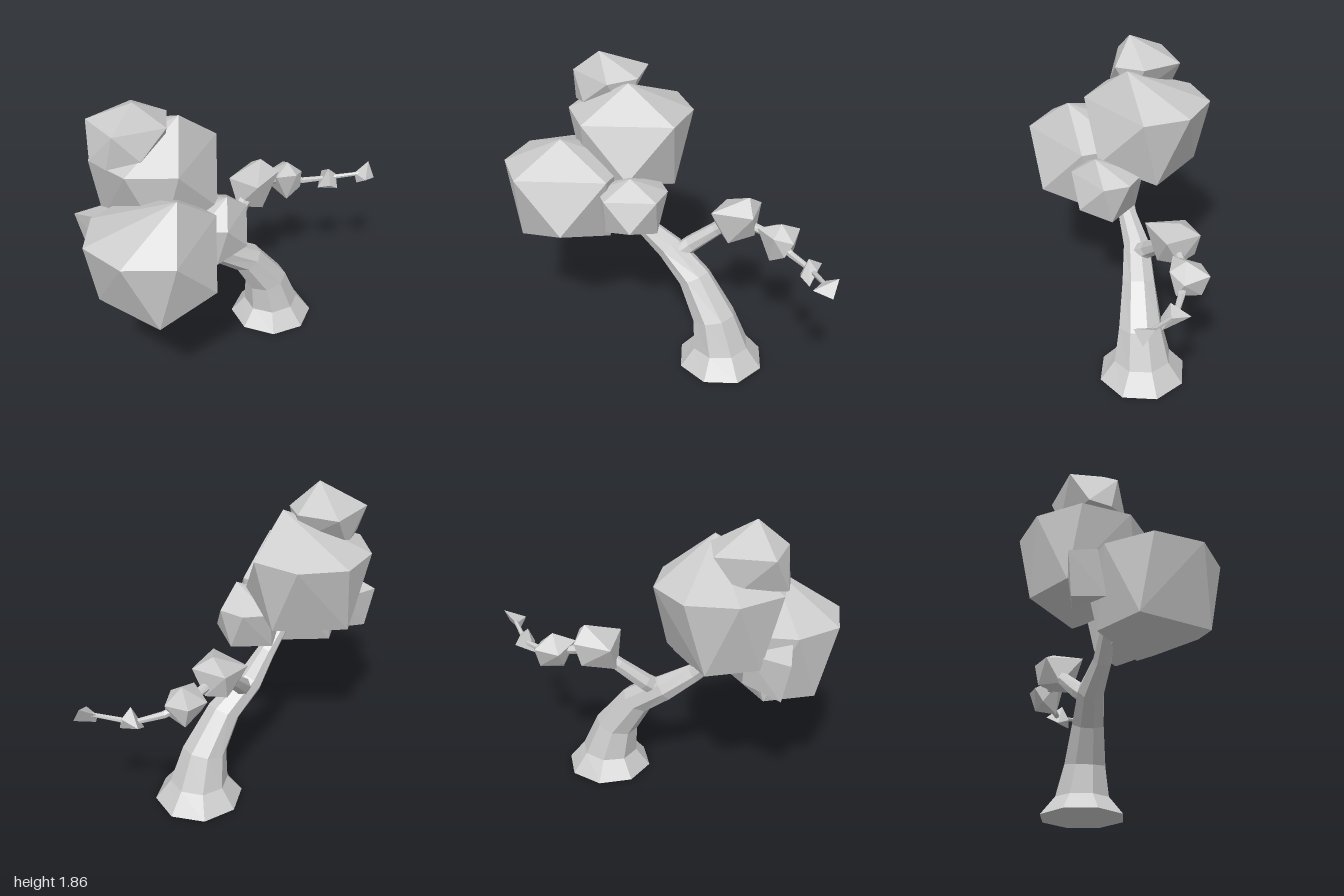
import * as THREE from 'three';
import { ConvexGeometry } from 'three/addons/geometries/ConvexGeometry.js';

const material = new THREE.MeshStandardMaterial({ color: 0xcccccc, flatShading: true });
const UP = new THREE.Vector3(0, 1, 0);

// Faceted limb through stations [x, y, z, radius]; rooted limbs start with level rings
function limb(name, stations, sides, rooted = false) {
  const centres = stations.map(s => new THREE.Vector3(s[0], s[1], s[2]));
  const last = centres.length - 1;
  const positions = [], index = [];
  centres.forEach((c, i) => {
    const normal = centres[Math.min(i + 1, last)].clone().sub(centres[Math.max(i - 1, 0)]).normalize();
    if (rooted) normal.lerp(UP, Math.max(0, 1 - i / 4)).normalize();
    const turn = new THREE.Quaternion().setFromUnitVectors(UP, normal);
    for (let k = 0; k < sides; k++) {
      const a = (k + 0.5) / sides * Math.PI * 2, r = stations[i][3];
      const p = new THREE.Vector3(Math.cos(a) * r, 0, Math.sin(a) * r).applyQuaternion(turn).add(c);
      positions.push(p.x, p.y, p.z);
    }
  });
  for (let i = 0; i < last; i++) {
    for (let k = 0; k < sides; k++) {
      const n = (k + 1) % sides, lo = i * sides, hi = lo + sides;
      index.push(lo + k, hi + k, hi + n, lo + k, hi + n, lo + n);
    }
  }
  for (let k = 1; k < sides - 1; k++) {
    const t = last * sides;
    index.push(0, k, k + 1, t, t + k + 1, t + k);
  }
  const geometry = new THREE.BufferGeometry();
  geometry.setAttribute('position', new THREE.Float32BufferAttribute(positions, 3));
  geometry.setIndex(index);
  geometry.computeVertexNormals();
  const mesh = new THREE.Mesh(geometry, material);
  mesh.name = name;
  return mesh;
}

// Faceted leaf clump: hull of a few corner points
function clump(name, points, scale = 1, centre = [0, 0, 0]) {
  const corners = points.map(p => new THREE.Vector3(...p).multiplyScalar(scale));
  const mesh = new THREE.Mesh(new ConvexGeometry(corners), material);
  mesh.position.set(...centre);
  mesh.name = name;
  return mesh;
}

// Full clump corners, mirrored across z
const half = [
  [0.16, 0.39, 0], [-0.38, 0.16, 0], [0.39, -0.16, 0], [0, -0.39, 0],
  [-0.28, 0.16, 0.28], [0, 0.16, 0.39], [0.275, 0.16, 0.28],
  [-0.28, -0.28, 0.16], [0.16, -0.28, 0.28],
];
const full = half.concat(half.filter(p => p[2]).map(([x, y, z]) => [x, y, -z]));

export function createModel() {
  const tree = new THREE.Group();
  tree.name = 'tree';

  // Leaning trunk with flared foot
  tree.add(limb('trunk', [
    [0.21, 0, -0.39, 0.275], [0.207, 0.12, -0.385, 0.18], [0.18, 0.32, -0.335, 0.138],
    [0.085, 0.54, -0.21, 0.105], [-0.04, 0.675, -0.05, 0.085],
    [-0.11, 0.8, 0.12, 0.06], [-0.22, 1.0, 0.3, 0.04],
  ], 8, true));

  // Side branch and its thin twig
  tree.add(limb('branch', [
    [0.0, 0.64, -0.08, 0.06], [-0.02, 0.72, -0.18, 0.055], [0.0, 0.85, -0.34, 0.045], [0.04, 0.95, -0.46, 0.04],
  ], 7));
  tree.add(limb('twig', [
    [0.04, 0.95, -0.46, 0.03], [0.17, 0.9, -0.7, 0.027], [0.28, 0.855, -0.78, 0.022],
    [0.42, 0.85, -0.88, 0.017], [0.67, 0.91, -0.94, 0.012],
  ], 6));

  // Crown
  tree.add(clump('frontLeaves', full, 1, [-0.19, 1.04, 0.61]));
  tree.add(clump('upperLeaves', full, 1, [-0.345, 1.34, 0.21]));
  tree.add(clump('sideLeaves', full, 0.565, [0.005, 1.02, 0.185]));
  tree.add(clump('topLeaves', [
    [-0.37, 1.86, 0.4], [-0.66, 1.72, 0.42], [-0.42, 1.72, 0.57], [-0.2, 1.71, 0.34],
    [-0.28, 1.72, 0.16], [-0.53, 1.72, 0.11], [-0.6, 1.52, 0.52], [-0.47, 1.51, 0.57],
    [-0.29, 1.56, 0.5], [-0.27, 1.52, 0.25], [-0.57, 1.52, 0.24],
  ]));
  tree.add(clump('lowerLeaves', [
    [-0.74, 1.13, 0.51], [-0.69, 0.88, 0.48], [-0.58, 1.18, 0.57], [-0.5, 0.92, 0.56],
    [-0.56, 1.14, 0.3], [-0.52, 0.93, 0.3], [-0.4, 1.05, 0.45],
  ]));

  // Leaves along the branch
  tree.add(clump('branchLeaves', [
    [0.06, 1.11, -0.53], [-0.03, 1.03, -0.61], [0.18, 1.03, -0.55], [0.12, 1.03, -0.3],
    [-0.11, 1.0, -0.4], [-0.03, 0.83, -0.35], [0.12, 0.82, -0.41], [0.1, 0.87, -0.57], [-0.03, 0.88, -0.57],
  ]));
  tree.add(clump('twigLeavesInner', [
    [0.19, 1.01, -0.72], [0.12, 0.94, -0.84], [0.27, 0.92, -0.79], [0.27, 0.95, -0.67],
    [0.16, 0.96, -0.58], [0.05, 0.92, -0.7], [0.21, 0.76, -0.66], [0.15, 0.81, -0.81],
    [0.1, 0.83, -0.67], [0.28, 0.83, -0.74],
  ]));
  tree.add(clump('twigLeavesMiddle', [
    [0.44, 0.935, -0.86], [0.37, 0.86, -0.95], [0.48, 0.88, -0.91],
    [0.38, 0.79, -0.83], [0.51, 0.79, -0.87], [0.47, 0.83, -0.82],
  ]));
  tree.add(clump('twigLeavesTip', [
    [0.68, 0.97, -1.0], [0.735, 0.87, -0.97], [0.7, 0.9, -0.86], [0.605, 0.9, -0.93], [0.63, 0.84, -0.91],
  ]));
  return tree;
}
